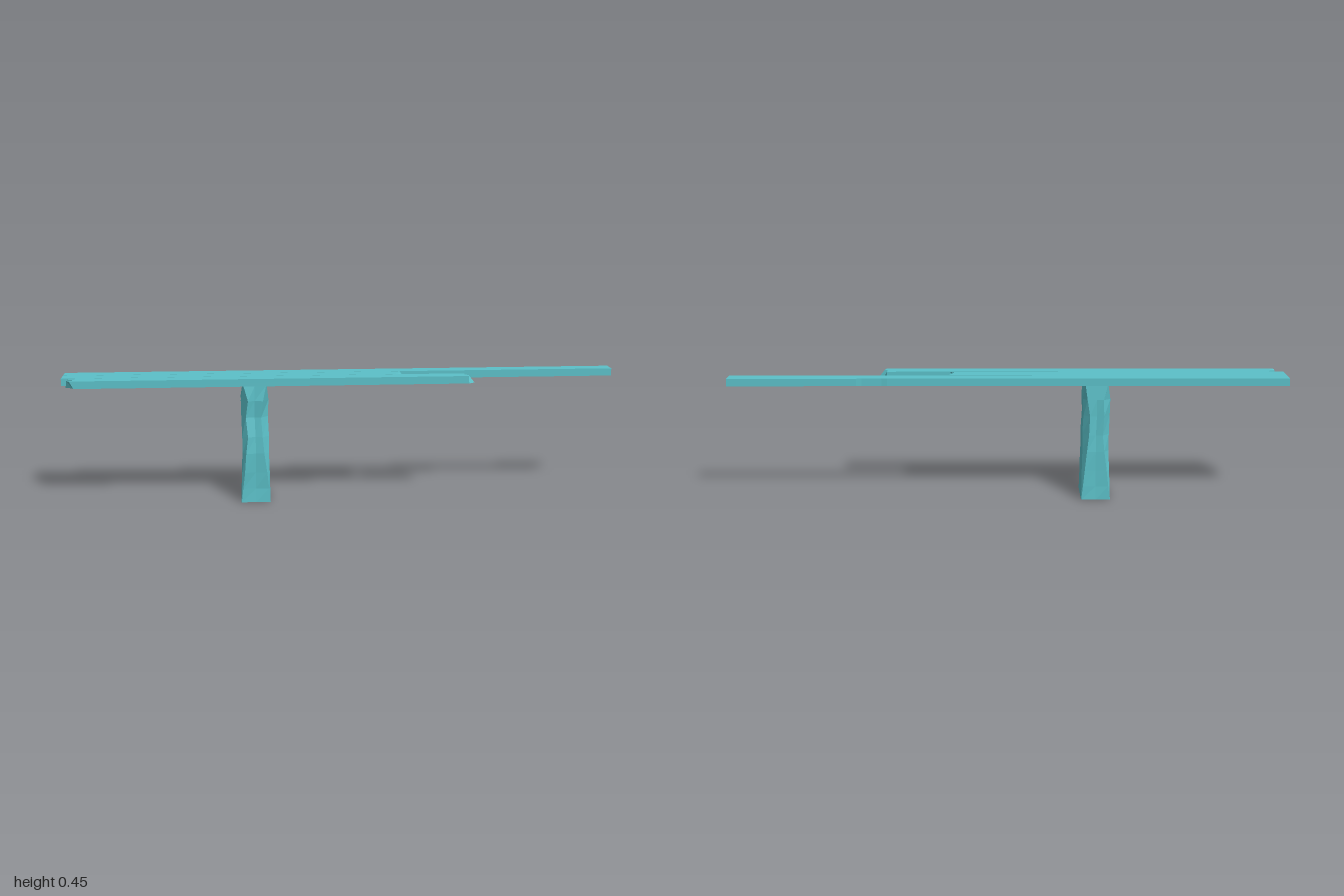
import * as THREE from 'three';

const material = new THREE.MeshStandardMaterial({ color: 0x5bc0c8, flatShading: true });

// Solid through stacked outlines of [x, z] points, each running front-left,
// front-right, back-right, back-left, with flat caps at both ends.
function loft(name, rings, heights) {
  const positions = [];
  const n = rings[0].length;
  const put = (r, i) => positions.push(rings[r][i][0], heights[r], rings[r][i][1]);
  const last = rings.length - 1;
  for (let r = 0; r < last; r++) {
    for (let i = 0; i < n; i++) {
      const j = (i + 1) % n;
      put(r, i); put(r, j); put(r + 1, j);
      put(r, i); put(r + 1, j); put(r + 1, i);
    }
  }
  const flat = (ring) => ring.map(([x, z]) => new THREE.Vector2(x, -z));
  for (const [a, b, c] of THREE.ShapeUtils.triangulateShape(flat(rings[last]), [])) {
    put(last, a); put(last, b); put(last, c);
  }
  for (const [a, b, c] of THREE.ShapeUtils.triangulateShape(flat(rings[0]), [])) {
    put(0, a); put(0, c); put(0, b);
  }
  const geometry = new THREE.BufferGeometry();
  geometry.setAttribute('position', new THREE.Float32BufferAttribute(positions, 3));
  geometry.computeVertexNormals();
  const mesh = new THREE.Mesh(geometry, material);
  mesh.name = name;
  return mesh;
}

// Plank outline points are [topX, z, bottomX], so broken ends can slant.
function plank(name, points) {
  const top = points.map(([x, z]) => [x, z]);
  const bottom = points.map(([x, z, bx = x]) => [bx, z]);
  return loft(name, [bottom, top], [0.426, 0.453]);
}

function seededRandom(seed) {
  let s = seed;
  return () => (s = (s * 16807) % 2147483647) / 2147483647;
}

// Hewn post: a box section with chamfered corners that fade out at both ends.
function post() {
  const random = seededRandom(11);
  // y, left x, right x, back z, front z, chamfer
  const sections = [
    [0.0, -0.37, -0.265, -0.078, 0.08, 0.001],
    [0.05, -0.368, -0.266, -0.078, 0.079, 0.007],
    [0.11, -0.366, -0.267, -0.077, 0.083, 0.013],
    [0.18, -0.363, -0.269, -0.075, 0.084, 0.02],
    [0.24, -0.364, -0.268, -0.074, 0.081, 0.025],
    [0.31, -0.366, -0.271, -0.073, 0.072, 0.028],
    [0.37, -0.367, -0.268, -0.07, 0.076, 0.028],
    [0.424, -0.358, -0.275, -0.066, 0.068, 0.002],
  ];
  const rings = sections.map(([, x0, x1, z0, z1, c], k) => {
    const end = k === 0 || k === sections.length - 1;
    const cut = () => c * (end ? 1 : 0.75 + 0.5 * random());
    const dent = () => (end ? 0 : 0.007 * random());
    const xm = (x0 + x1) / 2, zm = (z0 + z1) / 2;
    const shift = end ? 0 : (random() - 0.5) * 0.04;
    return [
      [x0 + 0.75 * cut(), z1], [xm, z1 - dent()], [x1 - 0.75 * cut(), z1],
      [x1, z1 - cut()], [x1 - dent(), zm + shift], [x1, z0 + cut()],
      [x1 - 0.75 * cut(), z0], [xm, z0 + dent()], [x0 + 0.75 * cut(), z0],
      [x0, z0 + cut()], [x0 + dent(), zm - shift], [x0, z1 - cut()],
    ];
  });
  return loft('post', rings, sections.map((s) => s[0]));
}

export function createModel() {
  const group = new THREE.Group();
  group.name = 'brokenBench';
  group.add(post());

  // Full-length back plank with a shallow worn edge
  group.add(plank('backPlank', [
    [-1, -0.031], [1, -0.031], [1, -0.088], [0.54, -0.088],
    [0.52, -0.085], [0.45, -0.085], [0.43, -0.088], [-1, -0.088],
  ]));

  // Middle plank, snapped off at its left end
  group.add(plank('middlePlank', [
    [-1, 0.029], [0.21, 0.029, 0.2], [0.195, 0.012, 0.215],
    [0.205, 0, 0.235], [0.212, -0.029, 0.205], [-1, -0.029],
  ]));

  // Front plank, splintered at both ends
  group.add(plank('frontPlank', [
    [-0.965, 0.088, -0.95], [0.445, 0.088, 0.45], [0.45, 0.07, 0.472],
    [0.437, 0.05, 0.455], [0.44, 0.031, 0.44], [-0.95, 0.031, -0.96],
    [-0.945, 0.042, -0.95], [-0.975, 0.05, -0.955], [-0.955, 0.062, -0.98],
    [-0.975, 0.075, -0.955],
  ]));
  return group;
}
